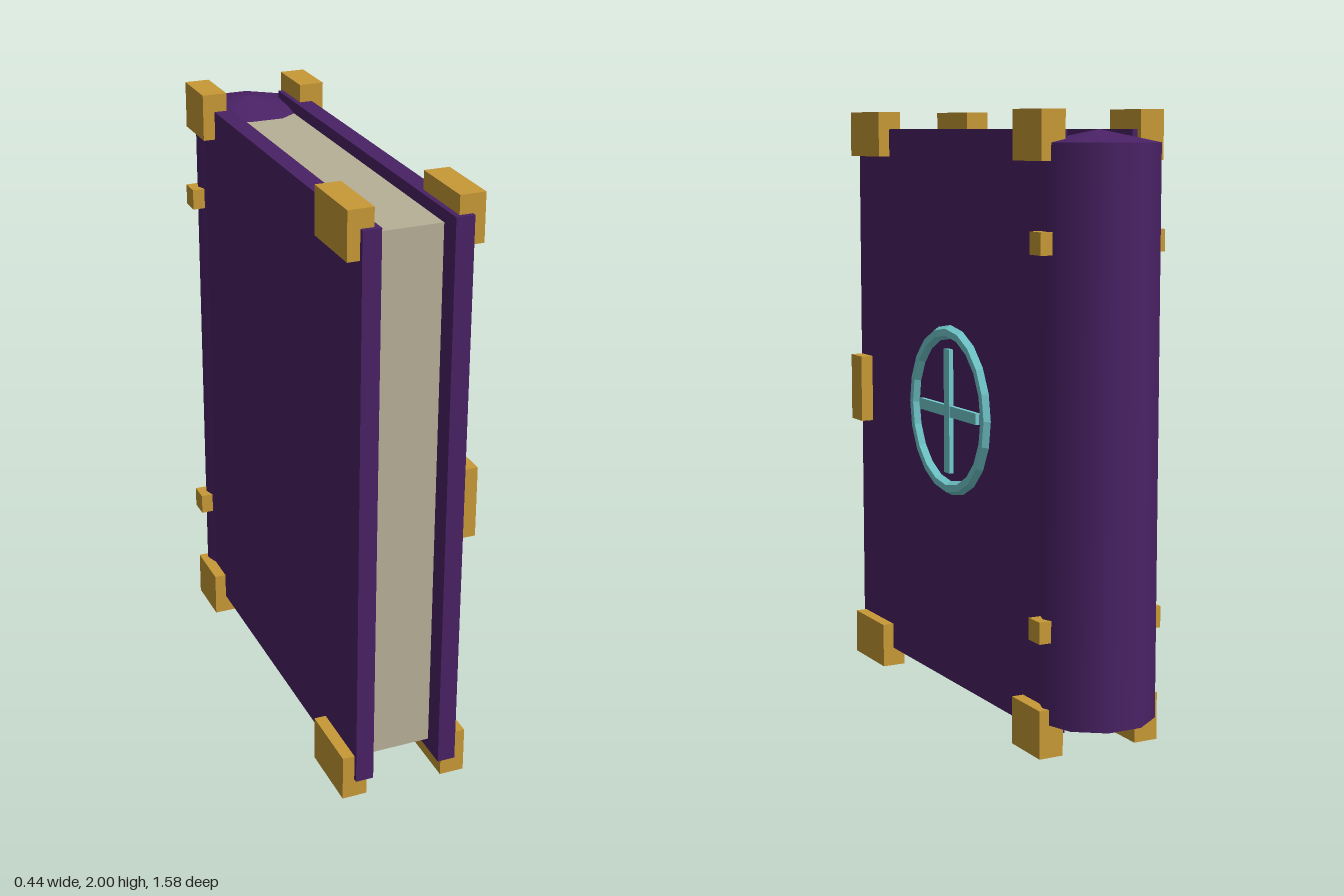
import * as THREE from 'three';

export function createModel() {
  const model = new THREE.Group();
  model.name = 'book';

  const mat = (name, color) => {
    const m = new THREE.MeshStandardMaterial({ color });
    m.name = name;
    return m;
  };
  const leather = mat('purple leather', 0x4a2266);
  const paper = mat('aged paper', 0xb8b098);
  const gold = mat('gold', 0xc89a36);
  const teal = mat('teal', 0x74ced2);

  const add = (name, geometry, material, x, y, z) => {
    const mesh = new THREE.Mesh(geometry, material);
    mesh.name = name;
    mesh.position.set(x, y, z);
    model.add(mesh);
    return mesh;
  };
  // Box given by its lower and upper corners
  const box = (name, material, [x0, y0, z0], [x1, y1, z1]) =>
    add(name, new THREE.BoxGeometry(x1 - x0, y1 - y0, z1 - z0), material,
      (x0 + x1) / 2, (y0 + y1) / 2, (z0 + z1) / 2);

  // Page block
  box('pages', paper, [-0.115, 0.105, -0.6], [0.115, 1.9, 0.71]);

  // Rounded spine: ten-sided column with shallow pointed ends
  const spineZ = -0.608, spineR = 0.19, turn = Math.PI / 10;
  add('spine', new THREE.CylinderGeometry(spineR, spineR, 1.795, 10, 1, true, turn), leather, 0, 1.0025, spineZ);
  for (const s of [1, -1]) {
    const cap = new THREE.ConeGeometry(spineR, 0.04, 10, 1, true, turn);
    if (s < 0) cap.rotateX(Math.PI);
    add('spineCap', cap, leather, 0, 1.0025 + s * 0.9175, spineZ);
  }

  // Covers with their metal fittings, mirrored on both sides
  for (const s of [1, -1]) {
    const sideBox = (name, material, x0, x1, y0, y1, z0, z1) =>
      box(name, material, [Math.min(s * x0, s * x1), y0, z0], [Math.max(s * x0, s * x1), y1, z1]);
    sideBox('cover', leather, 0.115, 0.175, 0.065, 1.94, -0.615, 0.787);
    for (const [y0, y1] of [[0, 0.155], [1.845, 2]]) {
      sideBox('frontCorner', gold, 0.132, 0.215, y0, y1, 0.53, 0.772);
      sideBox('backCorner', gold, 0.132, 0.215, y0, y1, -0.635, -0.455);
    }
    for (const y of [0.405, 1.6])
      sideBox('hingeStud', gold, 0.15, 0.22, y - 0.035, y + 0.035, -0.642, -0.572);
  }

  // Clasp plate on the front cover
  box('clasp', gold, [0.165, 0.885, 0.693], [0.219, 1.122, 0.782]);

  // Emblem: faceted ring around a cross
  const ring = new THREE.TorusGeometry(0.265, 0.0235, 6, 20).toNonIndexed();
  ring.computeVertexNormals();
  ring.rotateY(Math.PI / 2);
  add('emblemRing', ring, teal, 0.175, 1.005, 0.053);
  box('emblemUpright', teal, [0.165, 0.793, 0.034], [0.191, 1.213, 0.074]);
  box('emblemCrossbar', teal, [0.165, 0.985, -0.156], [0.19, 1.023, 0.264]);

  return model;
}
